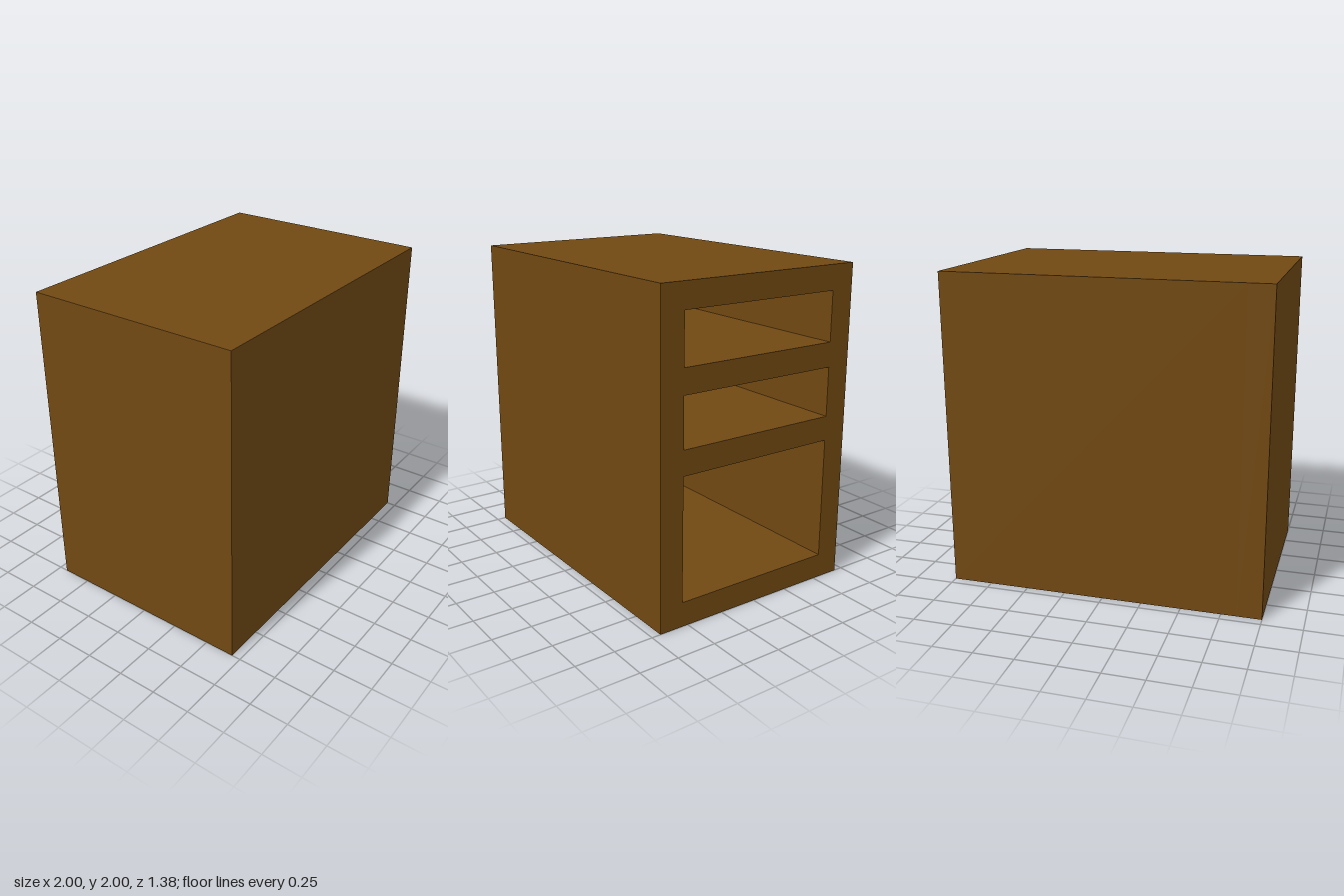
import * as THREE from 'three';

const U = 2 / 13;            // board thickness
const HALF_DEPTH = 4.5 * U;  // half the size along z

// Rectangle outline centred on the cabinet's depth axis
function rectangle(PathType, half, y0, y1) {
  const path = new PathType();
  path.moveTo(-half, y0);
  path.lineTo(half, y0);
  path.lineTo(half, y1);
  path.lineTo(-half, y1);
  path.closePath();
  return path;
}

export function createModel() {
  const group = new THREE.Group();
  group.name = 'cabinet';
  const wood = new THREE.MeshStandardMaterial({ color: 0x704812 });

  // Carcass: outer block with three compartments open towards +x
  const outline = rectangle(THREE.Shape, HALF_DEPTH, 0, 2);
  const compartments = [[1, 6], [7, 9], [10, 12]]; // bottom and top, in boards
  for (const [bottom, top] of compartments) {
    outline.holes.push(rectangle(THREE.Path, HALF_DEPTH - U, bottom * U, top * U));
  }
  const carcassGeometry = new THREE.ExtrudeGeometry(outline, { depth: 2 - U, bevelEnabled: false });
  carcassGeometry.rotateY(Math.PI / 2);
  carcassGeometry.translate(-1 + U, 0, 0);
  const carcass = new THREE.Mesh(carcassGeometry, wood);
  carcass.name = 'carcass';
  group.add(carcass);

  // Panel closing the compartments on the -x side
  const panel = new THREE.Mesh(new THREE.BoxGeometry(U, 2, HALF_DEPTH * 2), wood);
  panel.name = 'closingPanel';
  panel.position.set(-1 + U / 2, 1, 0);
  group.add(panel);

  return group;
}
